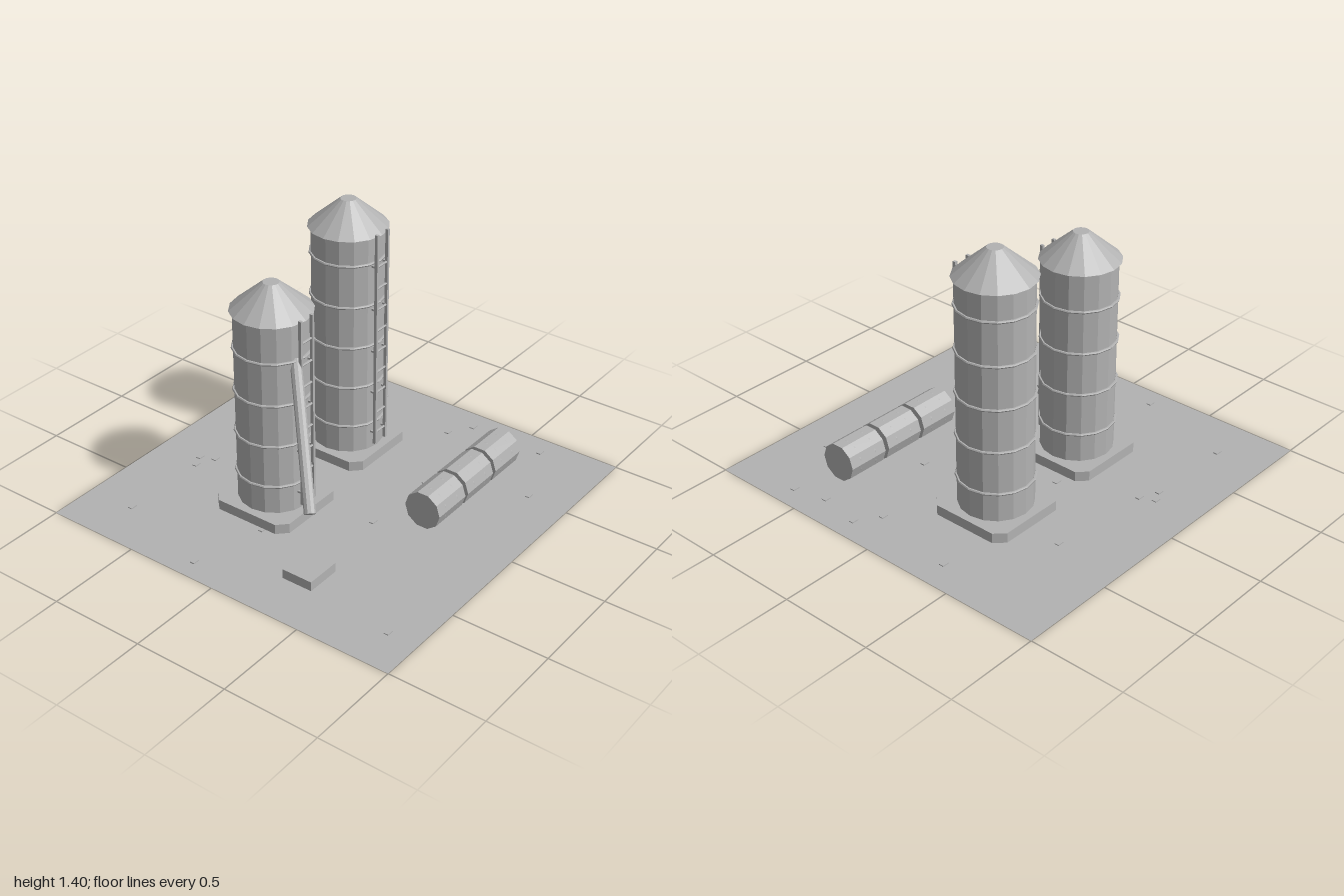
import * as THREE from 'three';

export function createModel() {
  const root = new THREE.Group();
  root.name = 'siloYard';
  const grey = new THREE.MeshStandardMaterial({ color: 0xb2b2b2, flatShading: true, side: THREE.DoubleSide });
  grey.name = 'grey';

  const add = (parent, name, geometry, x = 0, y = 0, z = 0) => {
    const mesh = new THREE.Mesh(geometry, grey);
    mesh.name = name;
    mesh.position.set(x, y, z);
    parent.add(mesh);
    return mesh;
  };
  const group = (name, x = 0, y = 0, z = 0) => {
    const g = new THREE.Group();
    g.name = name;
    g.position.set(x, y, z);
    root.add(g);
    return g;
  };

  // Flat ground sheet
  add(root, 'ground', new THREE.PlaneGeometry(2, 2).rotateX(-Math.PI / 2));

  // Square foundation with chamfered corners
  const padGeometry = (half, cut, height) => {
    const k = half - cut;
    const corners = [[k, -half], [half, -k], [half, k], [k, half], [-k, half], [-half, k], [-half, -k], [-k, -half]];
    const shape = new THREE.Shape(corners.map(([x, y]) => new THREE.Vector2(x, y)));
    return new THREE.ExtrudeGeometry(shape, { depth: height, bevelEnabled: false }).rotateX(-Math.PI / 2);
  };

  // Silo: pad, wall, hoops, conical roof and front ladder
  const WALL = 0.186, SIDES = 16;
  const addSilo = (name, x, z, eave, hoops) => {
    const silo = group(name, x, 0, z);
    add(silo, 'foundation', padGeometry(0.225, 0.05, 0.053), 0, 0.01, 0);
    add(silo, 'wall', new THREE.CylinderGeometry(WALL, WALL, eave - 0.06, SIDES), 0, (eave + 0.06) / 2, 0);
    add(silo, 'roof', new THREE.CylinderGeometry(0.04, 0.203, 0.14, SIDES), 0, eave + 0.07, 0);
    for (let i = 0; i < hoops; i++) {
      add(silo, 'hoop', new THREE.TorusGeometry(0.19, 0.007, 6, SIDES).rotateX(Math.PI / 2), 0, 0.215 + i * 0.2265, 0);
    }

    const ladder = new THREE.Group();
    ladder.name = 'ladder';
    ladder.position.z = 0.203;
    silo.add(ladder);
    const bottom = 0.095, top = eave + 0.017;
    for (const side of [-1, 1]) {
      add(ladder, 'rail', new THREE.BoxGeometry(0.014, top - bottom, 0.016), side * 0.043, (top + bottom) / 2, 0);
      for (let y = 0.16; y < eave; y += 0.2355) {
        add(ladder, 'bracket', new THREE.BoxGeometry(0.01, 0.01, 0.03), side * 0.043, y, -0.015);
      }
    }
    for (let y = 0.16; y < top - 0.1; y += 0.1178) {
      add(ladder, 'rung', new THREE.CylinderGeometry(0.006, 0.006, 0.086, 6).rotateZ(Math.PI / 2), 0, y, 0);
    }
  };
  addSilo('shortSilo', -0.281, -0.195, 1.09, 4);
  addSilo('tallSilo', 0.369, -0.235, 1.26, 5);

  // Sloping chute and the block under its mouth
  const low = new THREE.Vector3(-0.66, 0.355, 0.315), high = new THREE.Vector3(-0.315, 0.89, -0.03);
  const along = high.clone().sub(low);
  const chute = add(root, 'chute', new THREE.CylinderGeometry(0.028, 0.028, along.length(), 10));
  chute.position.copy(low).add(high).multiplyScalar(0.5);
  chute.quaternion.setFromUnitVectors(new THREE.Vector3(0, 1, 0), along.normalize());
  add(root, 'chuteBlock', new THREE.BoxGeometry(0.187, 0.05, 0.167), -0.661, 0.035, 0.307);

  // Row of lying barrels with barely raised bands
  for (let i = 0; i < 3; i++) {
    const barrel = group('barrel', 0.08 + i * 0.249, 0.105, 0.51);
    add(barrel, 'barrelBody', new THREE.CylinderGeometry(0.1, 0.1, 0.226, 10).rotateZ(Math.PI / 2));
    for (const side of [-1, 1]) {
      const band = new THREE.CylinderGeometry(0.0966, 0.0966, 0.006, 20, 1, true);
      add(barrel, 'barrelBand', band.rotateZ(Math.PI / 2), side * 0.05);
    }
  }

  // Scattered flat chips on the ground
  const chips = [
    [-0.74, -0.735], [-0.265, -0.73], [-0.2, -0.76], [-0.165, -0.685], [0.38, -0.635], [0.85, -0.345],
    [-0.895, -0.195], [-0.005, -0.3], [-0.505, -0.1], [0.765, 0.13], [0.885, 0.21], [0.305, 0.3],
    [-0.13, 0.29], [0.845, 0.44], [0.885, 0.62], [0.515, 0.78], [-0.775, 0.84],
  ];
  for (const [x, z] of chips) add(root, 'chip', new THREE.BoxGeometry(0.037, 0.005, 0.025), x, 0.0035, z);

  return root;
}
